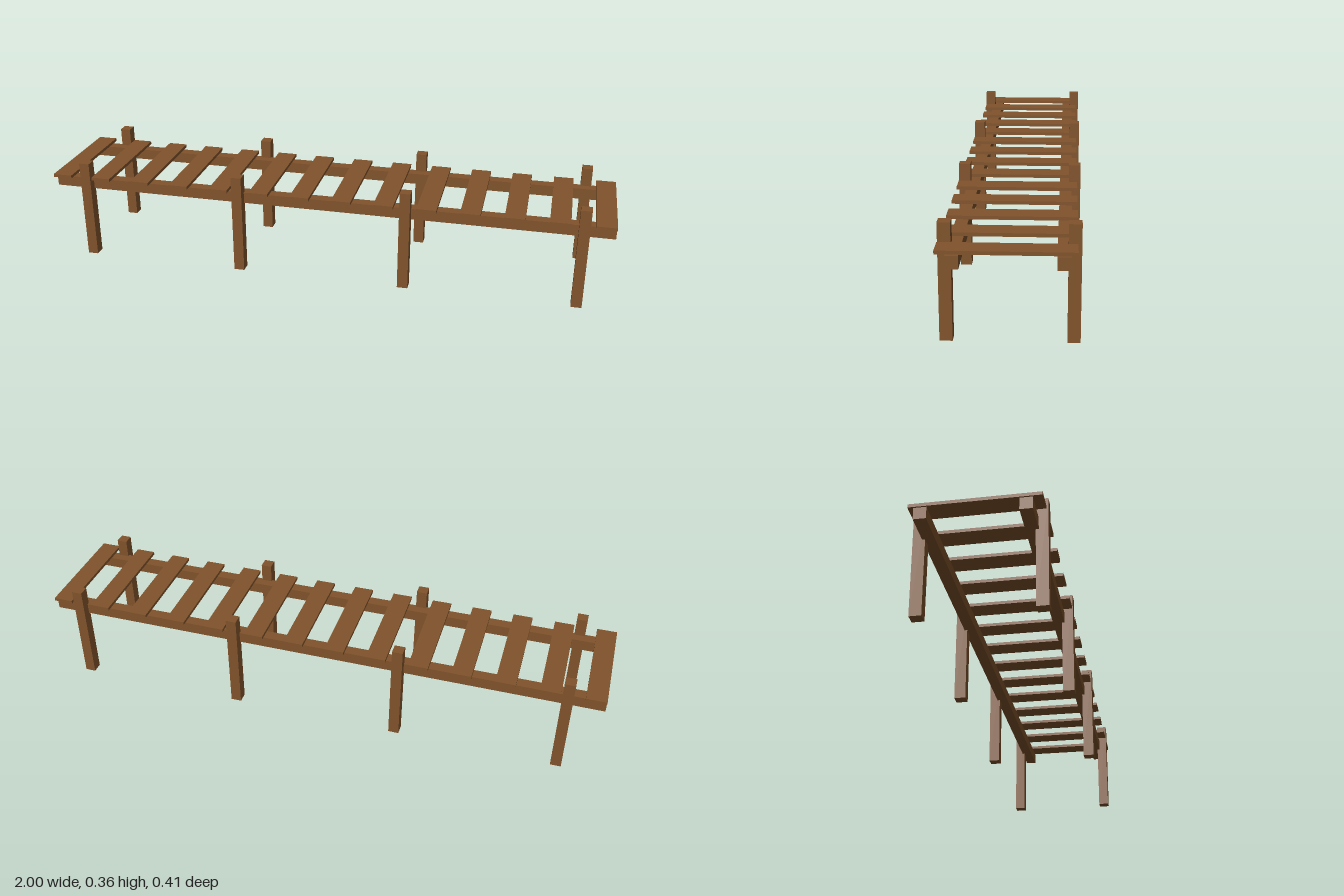
import * as THREE from 'three';

export function createModel() {
  const group = new THREE.Group();
  group.name = 'woodenJetty';
  const wood = new THREE.MeshStandardMaterial({ color: 0x80532b });

  const addBox = (name, size, position) => {
    const mesh = new THREE.Mesh(new THREE.BoxGeometry(...size), wood);
    mesh.name = name;
    mesh.position.set(...position);
    group.add(mesh);
  };

  for (const side of [1, -1]) {
    const label = side > 0 ? 'front' : 'back';

    // Long beam under the deck
    addBox(`${label}Beam`, [2, 0.039, 0.039], [0, 0.2745, side * 0.1545]);

    // Posts standing on the ground and rising above the deck
    [-0.875, -0.301, 0.298, 0.896].forEach((x, i) =>
      addBox(`${label}Post${i + 1}`, [0.037, 0.36, 0.038], [x, 0.18, side * 0.184]));
  }

  // Deck planks, evenly spaced along the beams and resting just above them
  const count = 14, width = 0.069;
  const first = -1 + width / 2;
  const step = (2 - width) / (count - 1);
  for (let i = 0; i < count; i++) {
    addBox(`plank${i + 1}`, [width, 0.011, 0.394], [first + i * step, 0.303, 0.005]);
  }

  return group;
}
